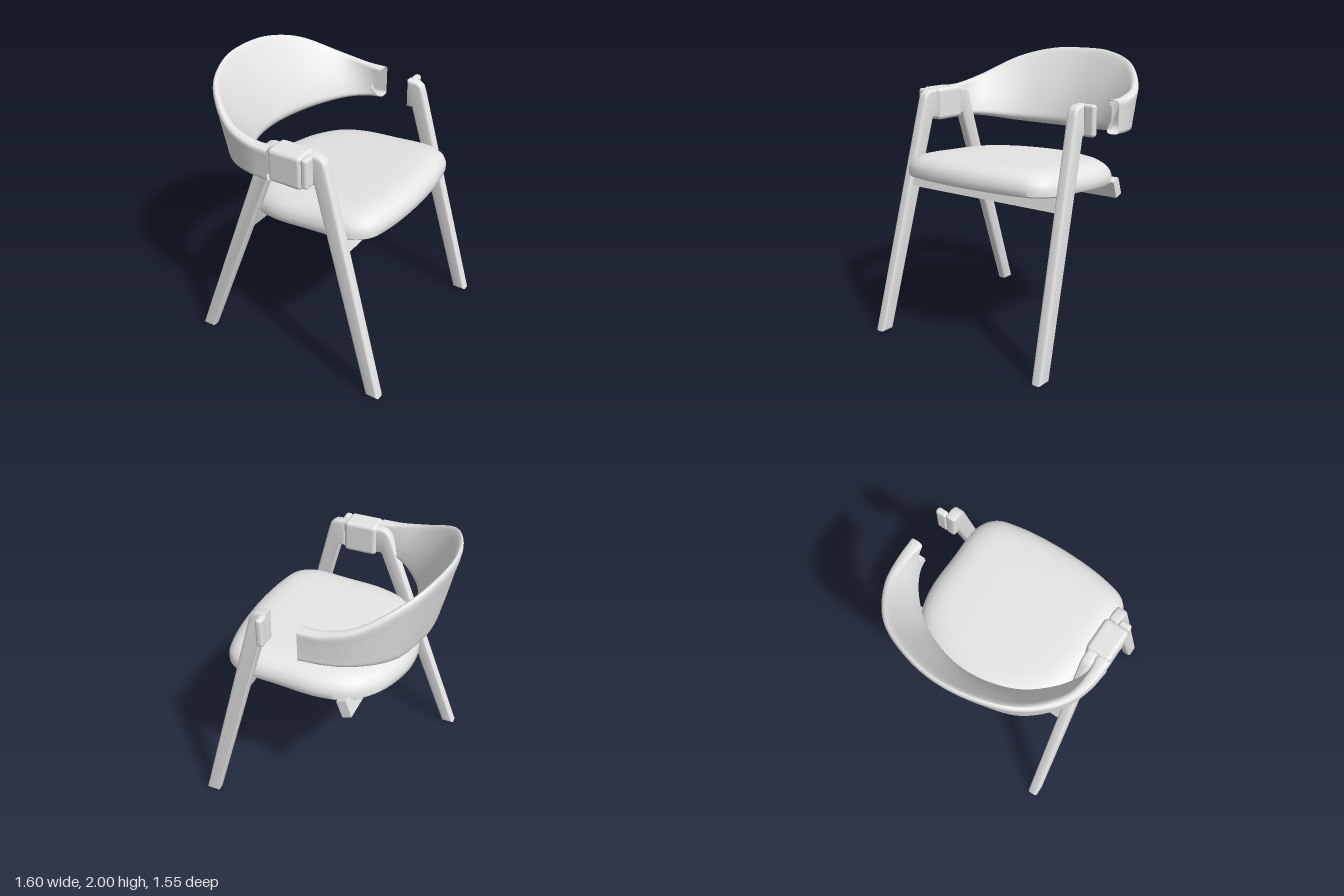
import * as THREE from 'three';
import { toCreasedNormals } from 'three/addons/utils/BufferGeometryUtils.js';
import { RoundedBoxGeometry } from 'three/addons/geometries/RoundedBoxGeometry.js';

const v3 = (x, y, z) => new THREE.Vector3(x, y, z);

// Skin a list of closed rings (arrays of Vector3 of equal length)
function loft(rings, crease) {
  const n = rings[0].length, index = [];
  for (let i = 0; i < rings.length - 1; i++) {
    for (let j = 0; j < n; j++) {
      const k = (j + 1) % n;
      const a = i * n + j, b = i * n + k, c = a + n, d = b + n;
      index.push(a, c, b, b, c, d);
    }
  }
  const geo = new THREE.BufferGeometry().setFromPoints(rings.flat());
  geo.setIndex(index);
  return toCreasedNormals(geo, crease);
}

// Cushion: plan outline stacked in layers, tilted up towards the front
function seatGeometry() {
  const half = [[0.685, 0], [0.655, 0.38], [0.6, 0.55], [0.48, 0.63], [0.2, 0.64],
    [-0.1, 0.635], [-0.3, 0.57], [-0.46, 0.39], [-0.545, 0.15]];
  const all = [...half, [-0.56, 0], ...half.slice(1).reverse().map(([x, z]) => [x, -z])];
  const outline = new THREE.CatmullRomCurve3(all.map(([x, z]) => v3(x, 0, z)), true)
    .getPoints(96).slice(0, 96);
  const layers = [[0, 0], [0, 0.99], [0.008, 1], [0.05, 1], [0.087, 0.98], [0.117, 0.94],
    [0.142, 0.875], [0.157, 0.79], [0.163, 0.68], [0.165, 0.4], [0.165, 0]];
  const cx = 0.06;
  return loft(layers.map(([h, s]) => outline.map((p) => {
    const x = cx + (p.x - cx) * s;
    return v3(x, 1.122 + 0.0625 * x + h, p.z * s);
  })), 0.7);
}

// Curved backrest: leaning section swept round, open at both arm ends
function backGeometry() {
  // outer x, outer z, top y, inner x, inner z, bottom y, bottom tuck, rim thickness
  const half = [
    [-0.8, 0, 2.0, -0.525, 0, 1.412, 0.125, 0.03],
    [-0.765, 0.25, 1.99, -0.495, 0.21, 1.418, 0.12, 0.03],
    [-0.65, 0.507, 1.925, -0.415, 0.4, 1.435, 0.09, 0.035],
    [-0.4, 0.708, 1.79, -0.255, 0.58, 1.475, 0.045, 0.05],
    [-0.19, 0.764, 1.737, -0.12, 0.66, 1.492, 0.015, 0.08],
    [-0.03, 0.773, 1.73, -0.03, 0.675, 1.5, 0, 0.09],
  ];
  const all = [...half.slice(1).reverse().map((r) => r.map((v, i) => (i === 1 || i === 4 ? -v : v))), ...half];
  const curve = (f) => new THREE.CatmullRomCurve3(all.map(f));
  const outer = curve((r) => v3(r[0], r[2], r[1]));
  const inner = curve((r) => v3(r[3], r[5], r[4]));
  const extra = curve((r) => v3(r[6], r[7], 0));
  const rings = [], steps = 80;
  for (let i = 0; i <= steps; i++) {
    const t = i / steps, o = outer.getPoint(t), q = inner.getPoint(t), e = extra.getPoint(t);
    const w = Math.hypot(q.x - o.x, q.z - o.z), dx = (q.x - o.x) / w, dz = (q.z - o.z) / w;
    const b = e.x, rim = e.y, L = THREE.MathUtils.lerp;
    // offset inwards, height fraction
    const section = [
      [L(b, w, 0.5), 0], [L(b, w, 0.2), 0.005], [b, 0.05], [b * 0.8, 0.2], [b * 0.52, 0.45],
      [b * 0.24, 0.72], [0, 0.94], [rim * 0.2, 0.985], [rim * 0.5, 1], [rim * 0.85, 0.985],
      [L(rim, w, 0.05), 0.95], [L(rim, w, 0.22), 0.83], [L(rim, w, 0.52), 0.6],
      [L(rim, w, 0.78), 0.37], [L(rim, w, 0.95), 0.18], [w, 0.09], [L(b, w, 0.85), 0.02],
    ];
    const loop = new THREE.CatmullRomCurve3(section.map(([d, h]) =>
      v3(o.x + dx * d, L(q.y, o.y, h), o.z + dz * d)), true);
    rings.push(loop.getPoints(40).slice(0, 40).map((p) => {
      // scooped cut through the inner wall at the arm ends
      const h = (p.y - q.y) / (o.y - q.y);
      const depth = Math.hypot(p.x - o.x, p.z - o.z) / w;
      const scoop = depth > 0.7 ? 0.07 * Math.sin(Math.PI * THREE.MathUtils.clamp(h, 0, 1)) : 0;
      return p.setX(Math.min(p.x, -0.03 - scoop));
    }));
  }
  return loft(rings, 1.2);
}

// Flat side-profile timber with rounded edges, splayed outwards towards the floor
function legGeometry(points, side) {
  const bevel = 0.02, depth = 0.078;
  const geo = new THREE.ExtrudeGeometry(new THREE.Shape(points.map(([x, y]) => new THREE.Vector2(x, y))), {
    depth: depth - 2 * bevel, bevelEnabled: true, bevelThickness: bevel, bevelSize: bevel,
    bevelOffset: -bevel, bevelSegments: 4,
  });
  geo.translate(0, 0, bevel - depth / 2);
  const p = geo.attributes.position;
  for (let i = 0; i < p.count; i++) {
    p.setZ(i, p.getZ(i) + side * (0.709 - 0.036 * p.getY(i)));
  }
  return toCreasedNormals(geo, 0.6);
}

export function createModel() {
  const group = new THREE.Group();
  const grey = new THREE.MeshStandardMaterial({ color: 0xe5e5e5, side: THREE.DoubleSide });
  grey.name = 'light grey';
  const add = (name, geo, x = 0, y = 0, z = 0, tilt = 0) => {
    const mesh = new THREE.Mesh(geo, grey);
    mesh.name = name;
    mesh.position.set(x, y, z);
    mesh.rotation.z = tilt;
    group.add(mesh);
  };

  add('seat', seatGeometry());
  add('backrest', backGeometry());

  // Front legs with a short tenon block at the top of each
  const frontProfile = [[0.7, 0], [0.8, 0], [0.35, 1.66], [0.335, 1.7], [0.3, 1.725],
    [0.22, 1.73], [0.22, 1.52], [0.265, 1.52]];
  for (const [name, side] of [['right', -1], ['left', 1]]) {
    add(name + 'FrontLeg', legGeometry(frontProfile, side));
    add(name + 'ArmEnd', new RoundedBoxGeometry(0.05, 0.21, 0.085, 3, 0.02), 0.24, 1.625, side * 0.722);
  }

  // Single rear leg running into the arm, and the sleeve around it
  add('rearLeg', legGeometry([[-0.735, 0], [-0.64, 0], [-0.065, 1.52], [0.23, 1.52],
    [0.23, 1.72], [-0.06, 1.72], [-0.1, 1.71], [-0.13, 1.68]], 1));
  add('armSleeve', new RoundedBoxGeometry(0.25, 0.235, 0.178, 4, 0.03), 0.095, 1.618, 0.68);

  // Cross rails under the seat
  add('frontRail', new THREE.BoxGeometry(0.07, 0.13, 1.26), 0.435, 1.105, 0, 0.26);
  add('rearRail', new THREE.BoxGeometry(0.07, 0.13, 1.26), -0.285, 1.07, 0, -0.35);
  return group;
}
